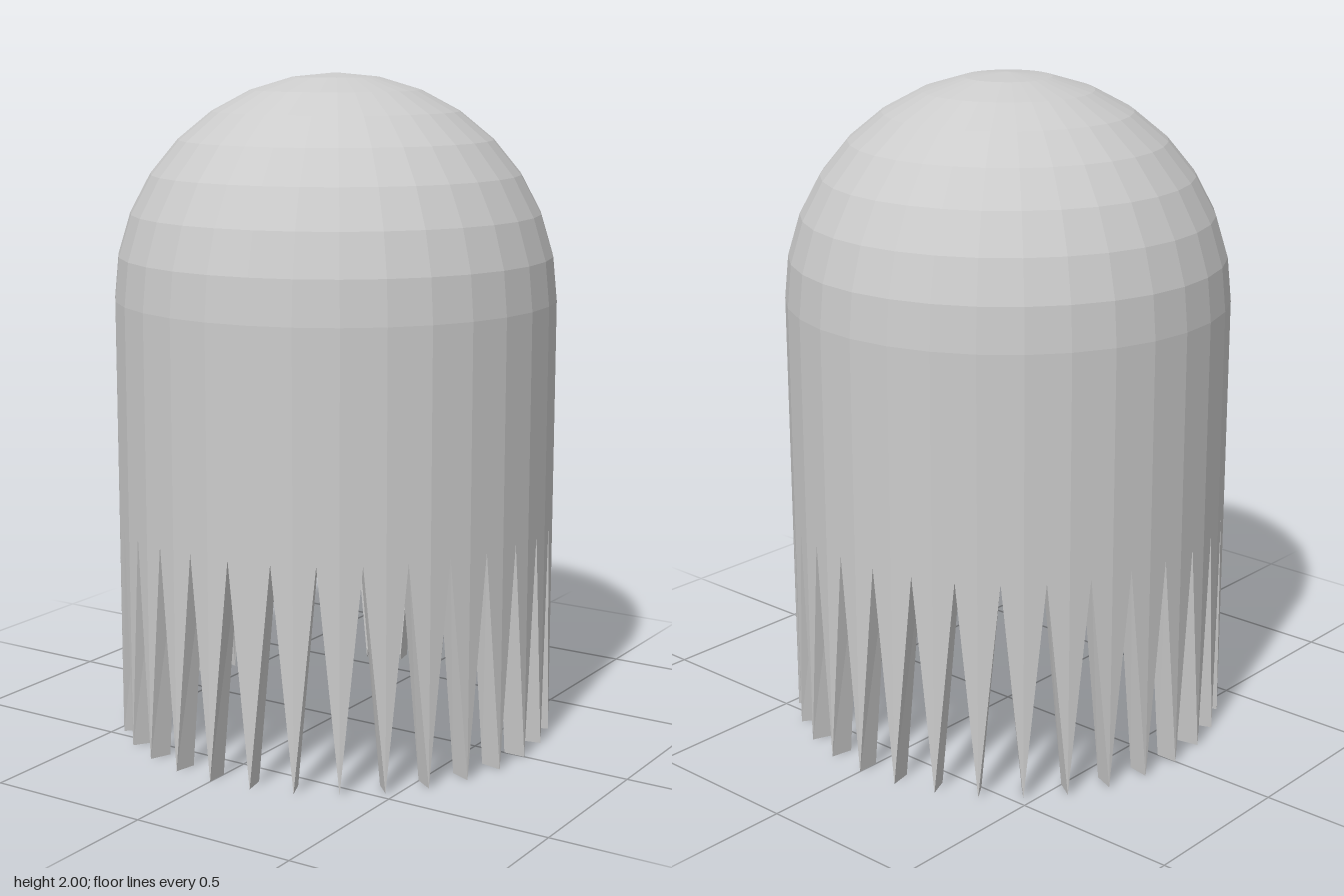
import * as THREE from 'three';

const SIDES = 32;          // flat facets around the shell
const OUTER = 2 / 3;       // outer radius
const INNER = 0.6;         // inner radius
const SHOULDER = 4 / 3;    // height where the dome meets the wall
const NOTCH = 2 / 3;       // height of the notches between the teeth

// Quarter circle from the shoulder up to the apex
function arc(radius, steps = 8) {
  return Array.from({ length: steps + 1 }, (_, i) => {
    const a = (i / steps) * Math.PI / 2;
    return new THREE.Vector2(i === steps ? 0 : radius * Math.cos(a), SHOULDER + radius * Math.sin(a));
  });
}

// Hollow hemispherical cap: inner surface down to the rim, outer surface back up
function domeGeometry() {
  return new THREE.LatheGeometry([...arc(INNER).reverse(), ...arc(OUTER)], SIDES);
}

// Thick cylindrical wall whose lower half is cut into pointed teeth
function skirtGeometry() {
  const profile = [[INNER, SHOULDER], [INNER, 0], [OUTER, 0], [OUTER, SHOULDER]]
    .map(([x, y]) => new THREE.Vector2(x, y));
  const geometry = new THREE.LatheGeometry(profile, SIDES * 2);
  const pos = geometry.attributes.position;
  const flatten = Math.cos(Math.PI / SIDES);
  for (let i = 0; i < pos.count; i++) {
    // every second column lies in the middle of a facet and ends at a notch
    if (Math.floor(i / profile.length) % 2 === 0) continue;
    const y = pos.getY(i);
    pos.setXYZ(i, pos.getX(i) * flatten, y === 0 ? NOTCH : y, pos.getZ(i) * flatten);
  }
  return geometry;
}

export function createModel() {
  const group = new THREE.Group();
  group.name = 'spikedDome';
  const material = new THREE.MeshStandardMaterial({ color: 0xcccccc, flatShading: true });

  const addPart = (name, geometry) => {
    const flat = geometry.toNonIndexed();
    flat.computeVertexNormals();
    const mesh = new THREE.Mesh(flat, material);
    mesh.name = name;
    group.add(mesh);
  };

  addPart('dome', domeGeometry());
  addPart('toothedSkirt', skirtGeometry());
  return group;
}
